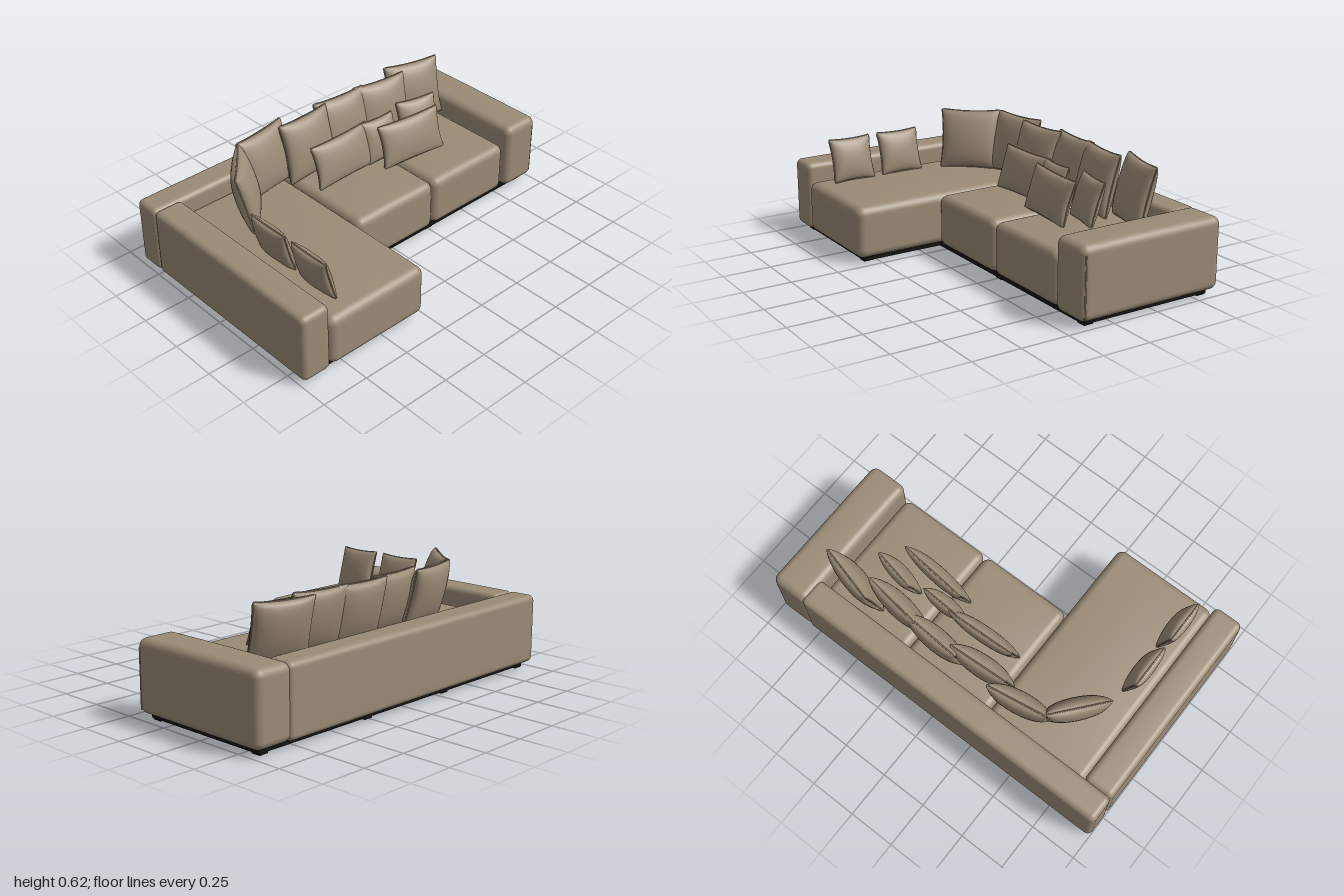
import * as THREE from 'three';
import { mergeGeometries, mergeVertices } from 'three/addons/utils/BufferGeometryUtils.js';

const fabric = new THREE.MeshStandardMaterial({ color: 0x9b8b76 });
fabric.name = 'taupe fabric';
const black = new THREE.MeshStandardMaterial({ color: 0x121212 });
black.name = 'black base';

// Weld a geometry and give it smooth normals
function smooth(geo) {
  geo.deleteAttribute('uv');
  geo.deleteAttribute('normal');
  const g = mergeVertices(geo, 1e-5);
  g.computeVertexNormals();
  return g;
}

// Upholstered block given by its bounds: rounded edges and a slightly domed top
function block(name, [x0, x1], [y0, y1], [z0, z1], r, crown = 0) {
  const half = [(x1 - x0) / 2, (y1 - y0) / 2, (z1 - z0) / 2];
  const geo = new THREE.BoxGeometry(2, 2, 2, 16, 16, 16);
  const pos = geo.attributes.position;
  const p = new THREE.Vector3(), core = new THREE.Vector3();
  for (let i = 0; i < pos.count; i++) {
    p.fromBufferAttribute(pos, i);
    ['x', 'y', 'z'].forEach((a, k) => {
      // the outer quarter of the grid covers the rounded edge
      const s = Math.abs(p[a]), inner = half[k] - r;
      const v = s < 0.5 ? s * 2 * inner : inner + r * Math.tan((s - 0.5) * Math.PI / 2);
      p[a] = Math.sign(p[a]) * v;
      core[a] = THREE.MathUtils.clamp(p[a], -inner, inner);
    });
    p.sub(core).setLength(r).add(core);
    if (p.y > 0) {
      const u = p.x / half[0], w = p.z / half[2];
      p.y += crown * (1 - u * u) * (1 - w * w) * p.y / half[1];
    }
    pos.setXYZ(i, p.x, p.y, p.z);
  }
  const mesh = new THREE.Mesh(smooth(geo), fabric);
  mesh.position.set((x0 + x1) / 2, (y0 + y1) / 2, (z0 + z1) / 2);
  mesh.name = name;
  return mesh;
}

// Thin raised seam through a list of points
function piping(name, points, r, closed = false) {
  const curve = new THREE.CatmullRomCurve3(points, closed, 'catmullrom', 0.2);
  const mesh = new THREE.Mesh(new THREE.TubeGeometry(curve, points.length * 3, r, 5, closed), fabric);
  mesh.name = name;
  return mesh;
}

// Stuffed cushion: two bulging sheets with drawn-in sides and a piped seam
function cushion(name, w, h, t, x, z, yaw, tilt) {
  const outline = (u, v) => [w / 2 * u * (1 - 0.07 * (1 - v * v)), h / 2 * v * (1 - 0.06 * (1 - u * u))];
  const sheet = (side) => {
    const geo = new THREE.PlaneGeometry(2, 2, 18, 18);
    if (side < 0) geo.rotateY(Math.PI);
    const pos = geo.attributes.position;
    for (let i = 0; i < pos.count; i++) {
      const u = Math.sin(pos.getX(i) * Math.PI / 2), v = Math.sin(pos.getY(i) * Math.PI / 2);
      const puff = Math.pow(Math.max(0, (1 - u * u) * (1 - v * v)), 0.36);
      pos.setXYZ(i, ...outline(u, v), side * t / 2 * puff);
    }
    return geo;
  };
  const group = new THREE.Group();
  group.name = name;
  const body = new THREE.Mesh(smooth(mergeGeometries([sheet(1), sheet(-1)])), fabric);
  body.name = name + 'Body';
  const seam = [];
  for (let k = 0; k < 4; k++) {
    for (let i = 0; i < 6; i++) {
      const s = -0.97 + i * 1.94 / 5;
      const [u, v] = [[s, -1], [1, s], [-s, 1], [-1, -s]][k];
      seam.push(new THREE.Vector3(...outline(u, v), 0));
    }
  }
  group.add(body, piping(name + 'Piping', seam, 0.004, true));
  const a = THREE.MathUtils.degToRad(tilt);
  group.rotation.set(-a, THREE.MathUtils.degToRad(yaw), 0, 'YXZ');
  group.position.set(x, 0.303 + h / 2 * Math.cos(a), z);
  return group;
}

function slab(name, [x0, x1], [y0, y1], [z0, z1]) {
  const mesh = new THREE.Mesh(new THREE.BoxGeometry(x1 - x0, y1 - y0, z1 - z0), black);
  mesh.position.set((x0 + x1) / 2, (y0 + y1) / 2, (z0 + z1) / 2);
  mesh.name = name;
  return mesh;
}

export function createModel() {
  const sofa = new THREE.Group();
  sofa.name = 'cornerSofa';

  // Upholstered frame
  sofa.add(
    block('backrest', [-1, 0.81], [0.03, 0.39], [-0.625, -0.475], 0.03),
    block('leftArm', [0.785, 1], [0.03, 0.392], [-0.622, 0.18], 0.04, 0.005),
    block('rightArm', [-1, -0.84], [0.03, 0.39], [-0.485, 0.62], 0.03, 0.003),
  );

  // Seats
  sofa.add(
    block('chaiseSeat', [-0.84, -0.262], [0.03, 0.297], [-0.49, 0.622], 0.042, 0.014),
    block('middleSeat', [-0.262, 0.255], [0.03, 0.3], [-0.49, 0.165], 0.042, 0.01),
    block('endSeat', [0.255, 0.775], [0.03, 0.3], [-0.49, 0.165], 0.042, 0.01),
  );

  // Seam on the outside of the left arm
  sofa.add(piping('armSeam', [[0.05, 0.16], [0.2, 0.16], [0.35, 0.16], [0.374, 0.14], [0.374, -0.2], [0.374, -0.59]]
    .map(([y, z]) => new THREE.Vector3(y > 0.36 ? 0.988 : 0.995, y, z)), 0.004));

  // Base and feet
  sofa.add(
    slab('mainBase', [-0.955, 0.955], [0.008, 0.036], [-0.58, 0.135]),
    slab('chaiseBase', [-0.955, -0.3], [0.008, 0.036], [0.135, 0.575]),
  );
  for (const [x, z] of [[-0.93, -0.555], [-0.31, -0.555], [0.255, -0.555], [0.925, -0.555],
    [0.255, 0.105], [0.925, 0.105], [-0.93, 0.105], [-0.93, 0.545], [-0.34, 0.545]]) {
    sofa.add(slab('foot', [x - 0.025, x + 0.025], [0, 0.02], [z - 0.025, z + 0.025]));
  }

  // Large back cushions: x, z, yaw, tilt
  [[-0.615, -0.25, 50, 14], [-0.385, -0.39, 9, 14], [-0.135, -0.355, 3, 14],
    [0.125, -0.385, -4, 14], [0.38, -0.36, -8, 14], [0.635, -0.39, -15, 14]]
    .forEach(([x, z, yaw, tilt]) => sofa.add(cushion('backCushion', 0.32, 0.32, 0.115, x, z, yaw, tilt)));

  // Oblong and small scatter cushions: width, x, z, yaw, tilt
  [[0.38, -0.03, -0.21, 2, 17], [0.21, 0.22, -0.205, -3, 17], [0.385, 0.345, -0.105, -6, 17],
    [0.235, 0.5, -0.215, -12, 17], [0.24, -0.75, 0.12, 90, 15], [0.235, -0.75, 0.405, 90, 15]]
    .forEach(([w, x, z, yaw, tilt]) => sofa.add(cushion('scatterCushion', w, 0.228, 0.085, x, z, yaw, tilt)));

  return sofa;
}
